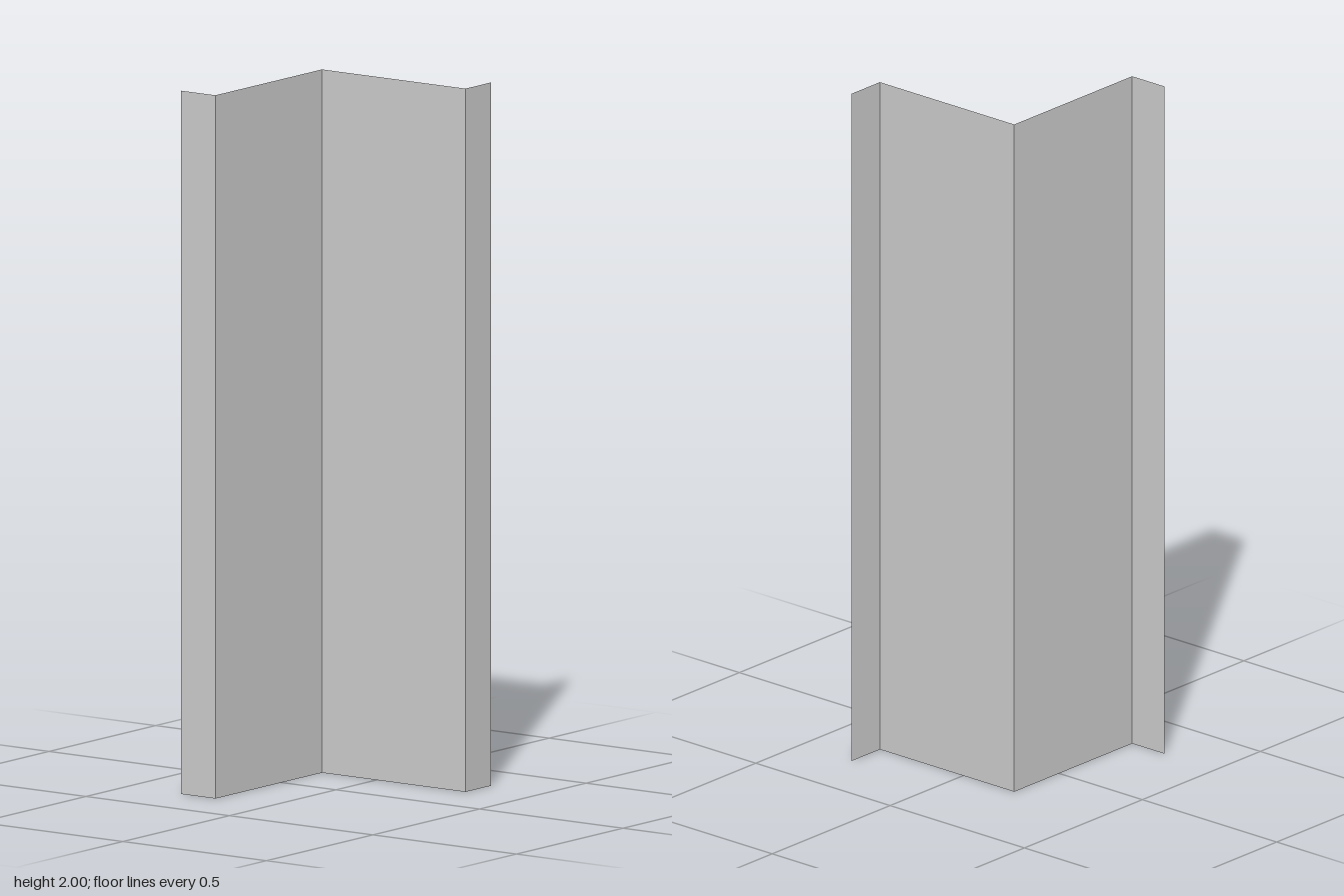
import * as THREE from 'three';

const HEIGHT = 2;

// Folded strip seen in plan: [x, z] of each vertical edge, lip to lip
const EDGES = [[-0.31, 0.31], [-0.19, 0.31], [-0.19, -0.19], [0.31, -0.19], [0.31, -0.31]];
const NAMES = ['frontLip', 'sideWall', 'backWall', 'rearLip'];

export function createModel() {
  const group = new THREE.Group();
  group.name = 'foldedCornerProfile';
  const material = new THREE.MeshStandardMaterial({
    color: 0xcccccc, flatShading: true, side: THREE.DoubleSide,
  });

  // One thin upright panel between each pair of neighbouring edges
  NAMES.forEach((name, i) => {
    const [x0, z0] = EDGES[i];
    const [x1, z1] = EDGES[i + 1];
    const panel = new THREE.Mesh(
      new THREE.PlaneGeometry(Math.hypot(x1 - x0, z1 - z0), HEIGHT), material);
    panel.name = name;
    panel.position.set((x0 + x1) / 2, HEIGHT / 2, (z0 + z1) / 2);
    panel.rotation.y = Math.atan2(z0 - z1, x1 - x0);
    group.add(panel);
  });
  return group;
}
